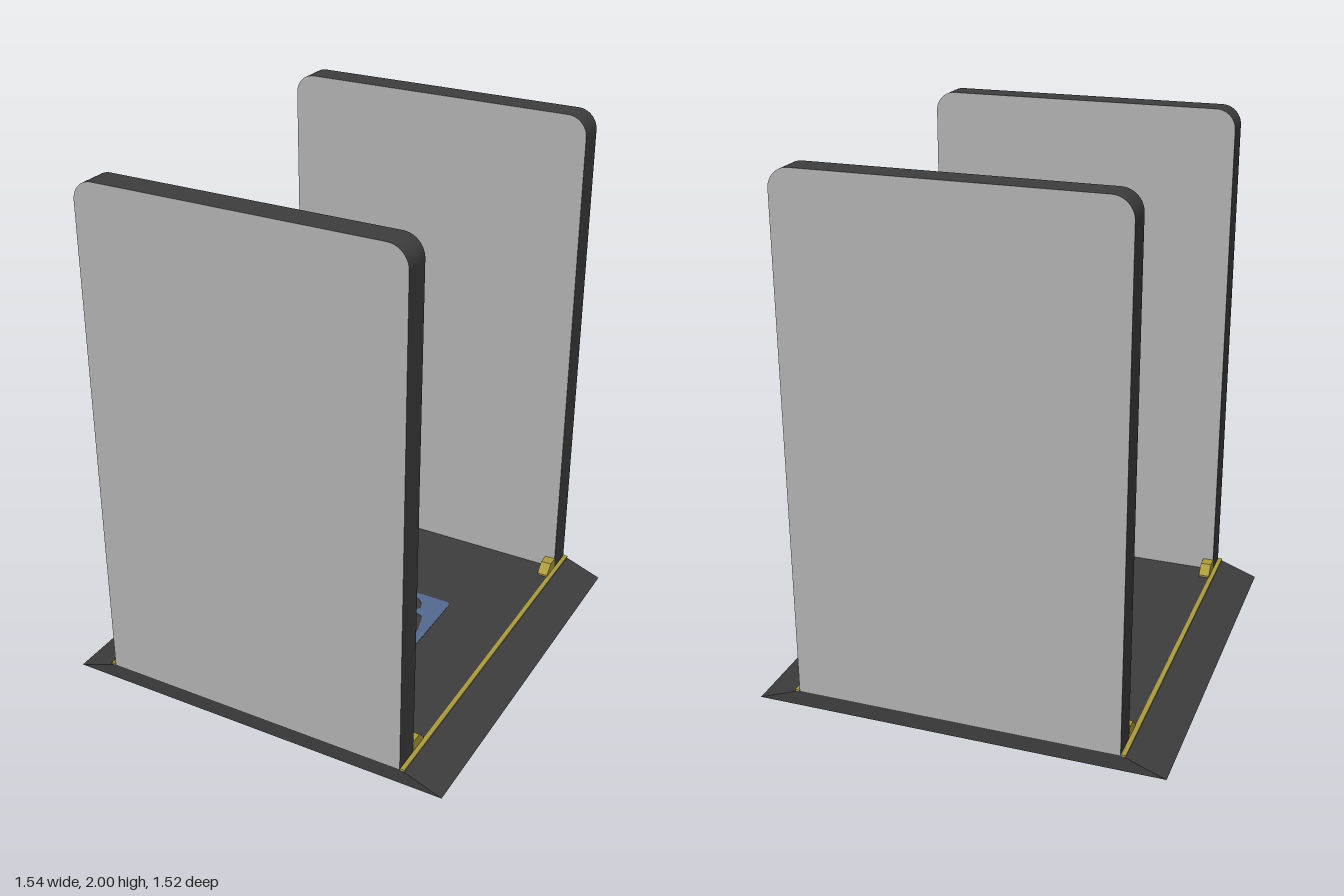
import * as THREE from 'three';

const FLOOR_Y = 0.06, HALF_W = 0.61, RAMP_W = 0.77, HALF_D = 0.76, PANEL_IN = 0.655;

const mat = (name, color, side = THREE.FrontSide) => {
  const m = new THREE.MeshStandardMaterial({ color, side });
  m.name = name;
  return m;
};

// Flat four-cornered face
function quad(a, b, c, d) {
  const g = new THREE.BufferGeometry();
  g.setAttribute('position', new THREE.Float32BufferAttribute([a, b, c, d].flat(), 3));
  g.setIndex([0, 1, 2, 0, 2, 3]);
  g.computeVertexNormals();
  return g;
}

// Rectangle with rounded corners; bottom corners may have their own radius
function roundedRect(x0, y0, x1, y1, r, rb = r) {
  const s = new THREE.Shape();
  s.moveTo(x0 + rb, y0);
  s.lineTo(x1 - rb, y0);
  if (rb) s.absarc(x1 - rb, y0 + rb, rb, -Math.PI / 2, 0);
  s.lineTo(x1, y1 - r);
  s.absarc(x1 - r, y1 - r, r, 0, Math.PI / 2);
  s.lineTo(x0 + r, y1);
  s.absarc(x0 + r, y1 - r, r, Math.PI / 2, Math.PI);
  s.lineTo(x0, y0 + rb);
  if (rb) s.absarc(x0 + rb, y0 + rb, rb, Math.PI, Math.PI * 1.5);
  return s;
}

export function createModel() {
  const model = new THREE.Group();
  model.name = 'walkThroughPlatform';
  const grey = mat('panelGrey', 0xb0b0b0);
  const dark = mat('darkRubber', 0x3d3d3d);
  const darkThin = mat('darkSheet', 0x3d3d3d, THREE.DoubleSide);
  const yellow = mat('safetyYellow', 0xaa9a3c);
  const blue = mat('matBlue', 0x546a92);

  const add = (name, geo, material, x = 0, y = 0, z = 0) => {
    const m = new THREE.Mesh(geo, material);
    m.name = name;
    m.position.set(x, y, z);
    model.add(m);
    return m;
  };

  // Floor sheet, open underneath
  add('floor', new THREE.BoxGeometry(2 * HALF_W, 0.002, 2 * PANEL_IN), dark, 0, FLOOR_Y, 0);

  for (const s of [-1, 1]) {
    // Sloping ramp on each side
    add('ramp', quad(
      [s * HALF_W, FLOOR_Y, s * HALF_D], [s * RAMP_W, 0, s * HALF_D],
      [s * RAMP_W, 0, -s * HALF_D], [s * HALF_W, FLOOR_Y, -s * HALF_D]), darkThin);

    // Skirt below each panel
    add('endSkirt', quad(
      [-s * RAMP_W, 0, s * HALF_D], [s * RAMP_W, 0, s * HALF_D],
      [s * HALF_W, FLOOR_Y, s * HALF_D], [-s * HALF_W, FLOOR_Y, s * HALF_D]), darkThin);

    // Yellow edge line
    add('edgeStripe', new THREE.BoxGeometry(0.017, 0.007, 2 * HALF_D), yellow, s * 0.617, FLOOR_Y, 0);

    // Upright panel with dark rim and grey faces
    const depth = HALF_D - PANEL_IN;
    const panel = new THREE.ExtrudeGeometry(
      roundedRect(-0.607, FLOOR_Y, 0.607, 2, 0.075, 0),
      { depth, bevelEnabled: false, curveSegments: 8 });
    add('panel', panel, [grey, dark], 0, 0, s > 0 ? PANEL_IN : -HALF_D);
    add('panelUnderside', new THREE.BoxGeometry(1.21, 0.002, depth - 0.002), grey,
      0, FLOOR_Y - 0.001, s * (PANEL_IN + depth / 2));

    // Corner brackets, chamfered towards the middle
    const profile = new THREE.Shape([
      [0.656, 0.06], [0.575, 0.06], [0.575, 0.068], [0.61, 0.105], [0.656, 0.105],
    ].map(([z, y]) => new THREE.Vector2(-s * z, y)));
    for (const side of [-1, 1]) {
      const bracket = new THREE.ExtrudeGeometry(profile, { depth: 0.042, bevelEnabled: false });
      bracket.rotateY(Math.PI / 2);
      add('cornerBracket', bracket, yellow, side * 0.587 - 0.021, 0, 0);
    }

    // Foot mat with sole and toe cut-outs
    const mats = roundedRect(0.112, -0.213, 0.338, 0.19, 0.02);
    const outline = (pts) => {
      const curve = new THREE.CatmullRomCurve3(
        pts.map(([x, z]) => new THREE.Vector3(x, z, 0)), true, 'centripetal');
      return new THREE.Path(curve.getPoints(40).map((p) => new THREE.Vector2(p.x, p.y)));
    };
    mats.holes.push(
      outline([[0.165, -0.06], [0.175, -0.056], [0.262, -0.083], [0.278, -0.07], [0.297, -0.01],
        [0.306, 0.05], [0.29, 0.12], [0.235, 0.16], [0.185, 0.125], [0.163, 0.05], [0.166, -0.01]]),
      outline([[0.152, -0.097], [0.16, -0.092], [0.238, -0.115], [0.246, -0.125], [0.235, -0.155],
        [0.2, -0.182], [0.162, -0.168], [0.149, -0.135]]));
    const footMat = new THREE.ExtrudeGeometry(mats, { depth: 0.006, bevelEnabled: false, curveSegments: 6 });
    footMat.rotateX(Math.PI / 2);
    footMat.translate(0, FLOOR_Y + 0.003, 0);
    if (s < 0) footMat.rotateZ(Math.PI).translate(0, 2 * FLOOR_Y, 0);
    add('footMat', footMat, blue);
  }
  return model;
}
